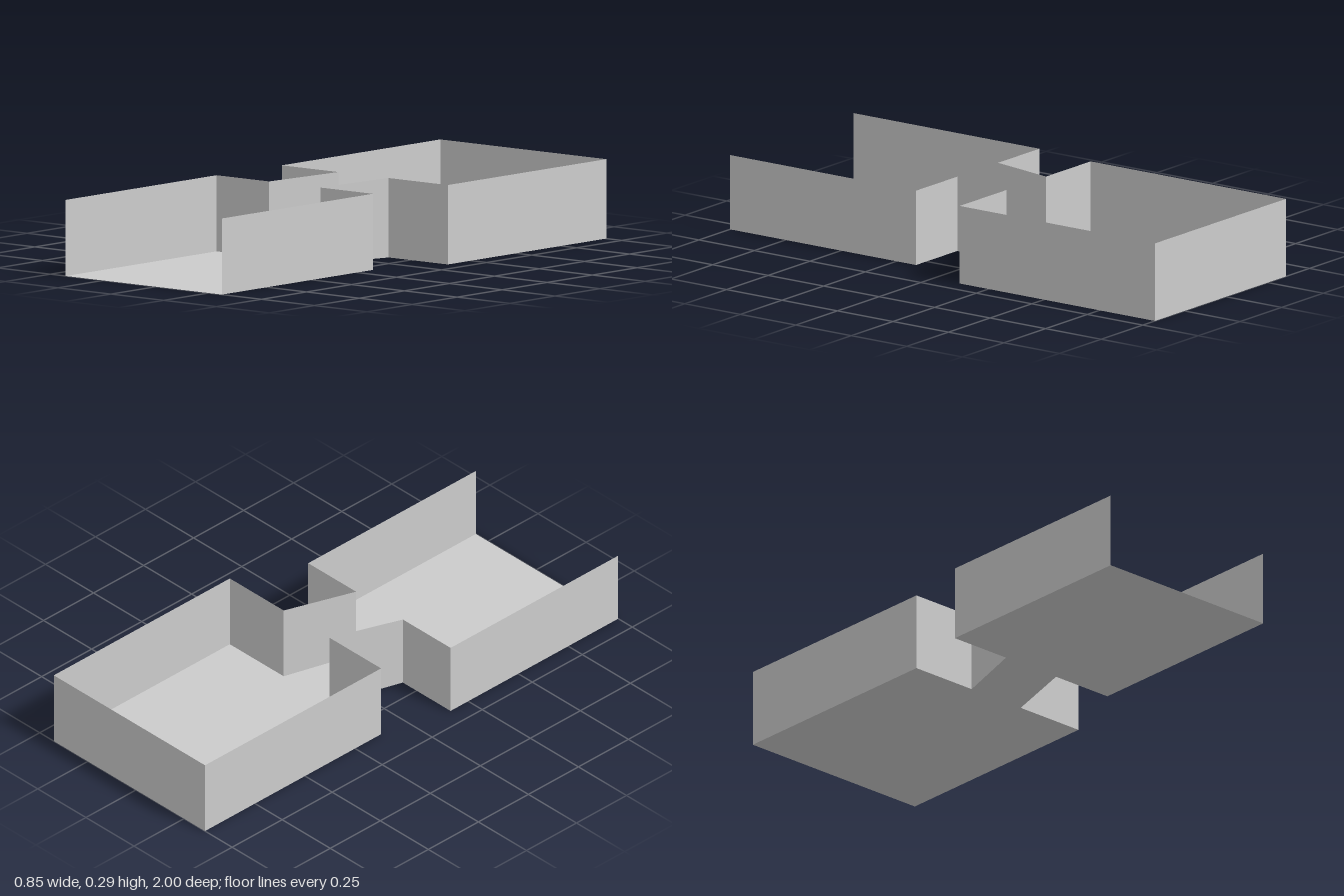
import * as THREE from 'three';

const FRONT_H = 0.277, BACK_H = 0.289;

// Floor outline from the open front, round the back: [x, z, wall height]
const outline = [
  [-0.427, 1, FRONT_H], [-0.427, 0.162, FRONT_H], [-0.179, 0.162, FRONT_H],
  [-0.091, -0.12, BACK_H], [-0.359, -0.12, BACK_H], [-0.359, -1, BACK_H],
  [0.427, -1, BACK_H], [0.427, -0.12, BACK_H], [0.147, -0.12, BACK_H],
  [0.064, 0.162, FRONT_H], [0.313, 0.162, FRONT_H], [0.313, 1, FRONT_H],
];

const wallNames = [
  'frontRoomRightWall', 'frontRoomInnerRightWall', 'passageRightWall',
  'backRoomInnerRightWall', 'backRoomRightWall', 'backWall', 'backRoomLeftWall',
  'backRoomInnerLeftWall', 'passageLeftWall', 'frontRoomInnerLeftWall', 'frontRoomLeftWall',
];

export function createModel() {
  const group = new THREE.Group();
  const material = new THREE.MeshStandardMaterial({
    color: 0xcccccc, side: THREE.DoubleSide, flatShading: true,
  });
  const add = (name, geometry) => {
    const mesh = new THREE.Mesh(geometry, material);
    mesh.name = name;
    group.add(mesh);
  };

  // One floor under both rooms and the slanted passage
  const shape = new THREE.Shape(outline.map(([x, z]) => new THREE.Vector2(x, -z)));
  add('floor', new THREE.ShapeGeometry(shape).rotateX(-Math.PI / 2));

  // Thin upright walls along the outline; the front edge stays open
  wallNames.forEach((name, i) => {
    const [x0, z0, h0] = outline[i], [x1, z1, h1] = outline[i + 1];
    const wall = new THREE.BufferGeometry();
    wall.setAttribute('position', new THREE.Float32BufferAttribute(
      [x0, 0, z0, x1, 0, z1, x1, h1, z1, x0, h0, z0], 3));
    wall.setIndex([0, 2, 1, 0, 3, 2]);
    wall.computeVertexNormals();
    add(name, wall);
  });

  return group;
}
